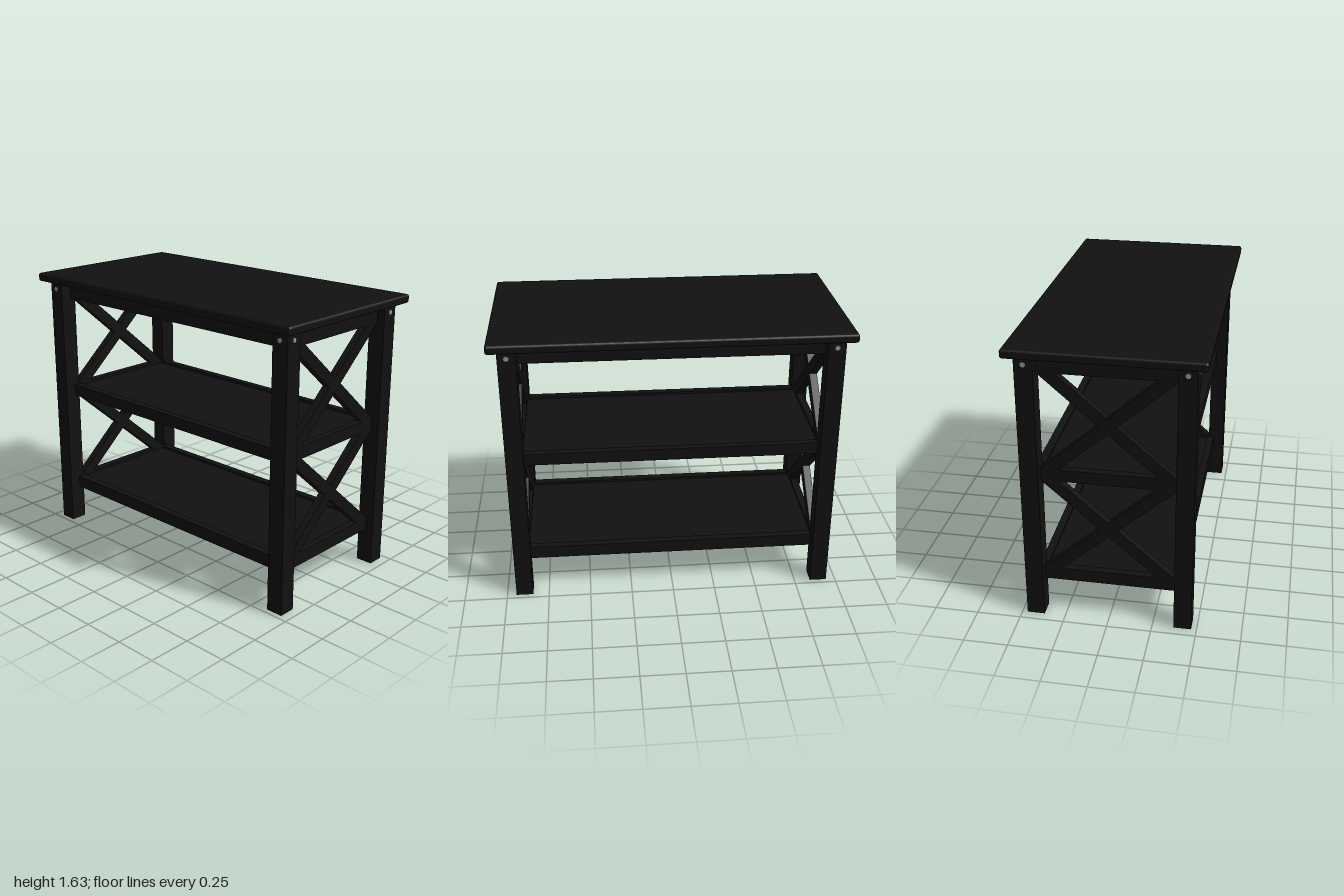
import * as THREE from 'three';
import { RoundedBoxGeometry } from 'three/addons/geometries/RoundedBoxGeometry.js';

const black = new THREE.MeshStandardMaterial({ color: 0x111111 });
const steel = new THREE.MeshStandardMaterial({ color: 0x999999 });

const LEG_X = 0.895, LEG_Z = 0.42, LEG = 0.1, LEG_TOP = 1.585;
const RAIL_X = 0.875, RAIL_Z = 0.38, RAIL = 0.045;
const SPAN_X = 0.845, SPAN_Z = 0.37; // clear half-spans between legs

export function createModel() {
  const group = new THREE.Group();

  const add = (name, geometry, x = 0, y = 0, z = 0, material = black) => {
    const mesh = new THREE.Mesh(geometry, material);
    mesh.name = name;
    mesh.position.set(x, y, z);
    group.add(mesh);
    return mesh;
  };

  const box = (name, w, y0, y1, d, x = 0, z = 0) =>
    add(name, new THREE.BoxGeometry(w, y1 - y0, d), x, (y0 + y1) / 2, z);

  // Four rails between the legs
  const frame = (name, y0, y1) => {
    for (const s of [-1, 1]) {
      box(name + 'LongRail', SPAN_X * 2, y0, y1, RAIL, 0, s * RAIL_Z);
      box(name + 'SideRail', RAIL, y0, y1, SPAN_Z * 2, s * RAIL_X, 0);
    }
  };

  // Table top with softly rounded edges
  add('tableTop', new RoundedBoxGeometry(2, 0.05, 1.05, 3, 0.014), 0, 1.61, 0);

  // Legs, each with a bolt head on its two outer faces
  const boltGeometry = new THREE.CylinderGeometry(0.014, 0.014, 0.008, 20);
  for (const sx of [-1, 1]) for (const sz of [-1, 1]) {
    box('leg', LEG, 0, LEG_TOP, LEG, sx * LEG_X, sz * LEG_Z);
    add('bolt', boltGeometry, sx * LEG_X, 1.54, sz * (LEG_Z + LEG / 2), steel).rotation.x = Math.PI / 2;
    add('bolt', boltGeometry, sx * (LEG_X + LEG / 2), 1.54, sz * LEG_Z, steel).rotation.z = Math.PI / 2;
  }

  // Apron under the top and the two framed shelves
  frame('apron', 1.48, LEG_TOP);
  for (const [name, y0, y1] of [['lowerShelf', 0.215, 0.29], ['middleShelf', 0.85, 0.92]]) {
    frame(name, y0, y1);
    box(name + 'Panel', RAIL_X * 2, y0, y1 - 0.015, RAIL_Z * 2);
  }

  // Crossed braces on both ends, cut level with the rails
  for (const [y0, y1] of [[0.29, 0.85], [0.92, 1.48]]) for (const dir of [-1, 1]) {
    const outline = new THREE.Shape([
      [-SPAN_Z, y0], [-SPAN_Z + 0.1, y0], [SPAN_Z, y1], [SPAN_Z - 0.1, y1],
    ].map(([z, y]) => new THREE.Vector2(z * dir, y)));
    const brace = new THREE.ExtrudeGeometry(outline, { depth: RAIL, bevelEnabled: false });
    brace.translate(0, 0, -RAIL / 2).rotateY(-Math.PI / 2);
    for (const side of [-1, 1]) add('crossBrace', brace, side * RAIL_X);
  }

  return group;
}
